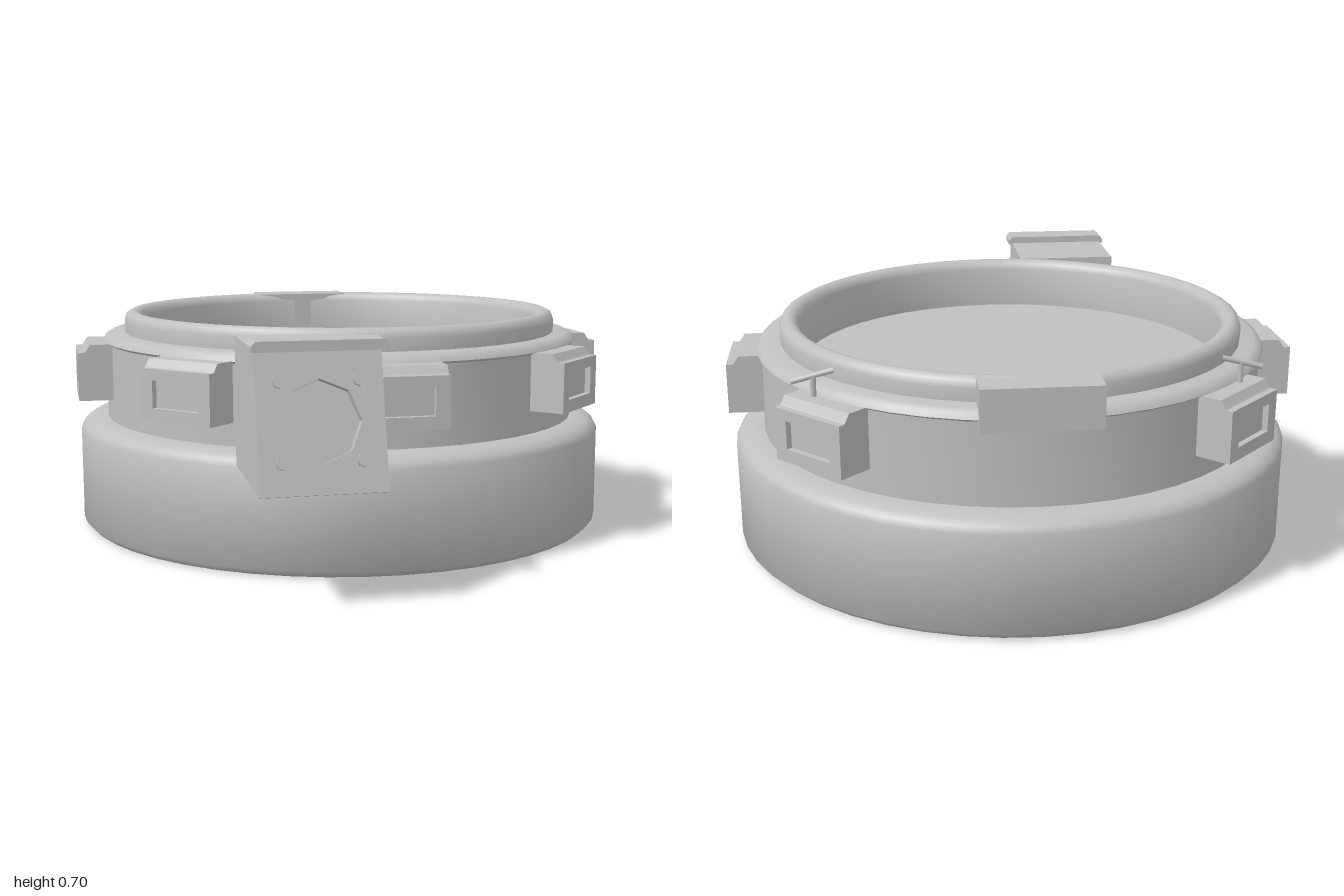
import * as THREE from 'three';
import { toCreasedNormals } from 'three/addons/utils/BufferGeometryUtils.js';

const CENTRE_Z = -0.14;
const metal = new THREE.MeshStandardMaterial({ color: 0xc0c0c0 });
metal.name = 'grey metal';

function add(parent, name, geometry, x = 0, y = 0, z = 0) {
  const mesh = new THREE.Mesh(geometry, metal);
  mesh.name = name;
  mesh.position.set(x, y, z);
  parent.add(mesh);
  return mesh;
}

const outline = (pts) => new THREE.Shape(pts.map(([x, y]) => new THREE.Vector2(x, y)));

// Side profile given as [z, y], extruded along x and centred on x = 0
function prism(profile, width) {
  const geo = new THREE.ExtrudeGeometry(outline(profile), { depth: width, bevelEnabled: false });
  geo.rotateY(-Math.PI / 2);
  geo.translate(width / 2, 0, 0);
  return geo;
}

// Flat plate with a hole, front face on z = 0
function framedPlate(pts, hole, depth) {
  const shape = outline(pts);
  shape.holes.push(new THREE.Path(hole.map(([x, y]) => new THREE.Vector2(x, y))));
  const geo = new THREE.ExtrudeGeometry(shape, { depth, bevelEnabled: false });
  geo.translate(0, 0, -depth);
  return geo;
}

const rect = (w, y0, y1) => [[-w / 2, y0], [w / 2, y0], [w / 2, y1], [-w / 2, y1]];

function lathe(profile) {
  const pts = profile.map(([r, y]) => new THREE.Vector2(r, y));
  return toCreasedNormals(new THREE.LatheGeometry(pts, 48), 0.9);
}

// Thin round rod between two points
function rod(a, b, radius) {
  const path = new THREE.LineCurve3(new THREE.Vector3(...a), new THREE.Vector3(...b));
  return new THREE.TubeGeometry(path, 1, radius, 8);
}

function visionBlock() {
  const block = new THREE.Group();
  block.name = 'visionBlock';
  // Housing with a sloped hood
  add(block, 'housing', prism([[0.72, 0.42], [0.85, 0.42], [0.85, 0.57], [0.845, 0.575],
    [0.83, 0.597], [0.72, 0.597]], 0.25));
  // Frame around the recessed window
  add(block, 'windowFrame', framedPlate(rect(0.25, 0.42, 0.572), rect(0.165, 0.458, 0.54), 0.02), 0, 0, 0.868);
  return block;
}

function sightBox() {
  const sight = new THREE.Group();
  sight.name = 'sightBox';
  sight.position.x = -0.288;
  add(sight, 'sightHousing', prism([[0.58, 0.315], [0.969, 0.315], [0.874, 0.68], [0.58, 0.68]], 0.335));

  // Tilted face with an octagonal opening and four bolts
  const face = new THREE.Group();
  face.name = 'sightFace';
  face.position.set(0, 0.315, 1.0);
  face.rotation.x = -Math.atan(0.095 / 0.365);
  sight.add(face);
  const octagon = [];
  for (let i = 0; i < 8; i++) {
    const a = i * Math.PI / 4;
    octagon.push([0.107 * Math.cos(a), 0.187 + 0.11 * Math.sin(a)]);
  }
  add(face, 'facePlate', framedPlate(rect(0.335, 0, 0.377), octagon, 0.03));
  for (const x of [-0.105, 0.105]) {
    for (const y of [0.085, 0.293]) {
      const bolt = add(face, 'bolt', new THREE.CylinderGeometry(0.019, 0.019, 0.02, 8), x, y, 0.002);
      bolt.rotation.x = Math.PI / 2;
    }
  }

  // Overhanging brow with clipped corners
  const brow = outline([[-0.18, 0.675], [0.18, 0.675], [0.18, 0.69], [0.168, 0.703],
    [-0.168, 0.703], [-0.18, 0.69]]);
  add(sight, 'brow', new THREE.ExtrudeGeometry(brow, { depth: 0.1, bevelEnabled: false }), 0, 0, 0.85);
  return sight;
}

export function createModel() {
  const model = new THREE.Group();
  model.name = 'cupola';

  const ring = new THREE.Group();
  ring.name = 'ringAssembly';
  ring.position.z = CENTRE_Z;
  model.add(ring);

  // Broad base drum with rounded shoulder
  add(ring, 'baseDrum', lathe([[0, 0], [0.84, 0], [0.86, 0.02], [0.86, 0.31], [0.85, 0.328],
    [0.83, 0.342], [0.79, 0.35], [0.7, 0.352]]));

  // Upper wall with a small shoulder
  add(ring, 'upperWall', lathe([[0.7, 0.34], [0.772, 0.34], [0.772, 0.59], [0.782, 0.597],
    [0.774, 0.612], [0.755, 0.622], [0.68, 0.622]]));

  // Rounded rim and the sunken hatch floor
  add(ring, 'rimAndFloor', lathe([[0.71, 0.61], [0.712, 0.66], [0.705, 0.68], [0.688, 0.69],
    [0.672, 0.688], [0.657, 0.677], [0.65, 0.66], [0.65, 0.53], [0, 0.53]]));

  // Vision blocks every eighth turn, leaving the back for the hinge
  for (let i = 0; i < 8; i++) {
    if (i === 4) continue;
    const block = visionBlock();
    block.rotation.y = i * Math.PI / 4;
    ring.add(block);
  }

  // Hinge block at the back
  add(ring, 'hingeBlock', new THREE.BoxGeometry(0.33, 0.12, 0.135), 0, 0.627, -0.7155);

  // Small bent hooks above the two rear corner blocks
  for (const s of [-1, 1]) {
    const hook = new THREE.Group();
    hook.name = 'hook';
    add(hook, 'hookArm', rod([s * 0.538, 0.67, -0.52], [s * 0.655, 0.64, -0.52], 0.008));
    add(hook, 'hookPost', rod([s * 0.595, 0.59, -0.52], [s * 0.595, 0.655, -0.52], 0.008));
    ring.add(hook);
  }

  model.add(sightBox());
  return model;
}
